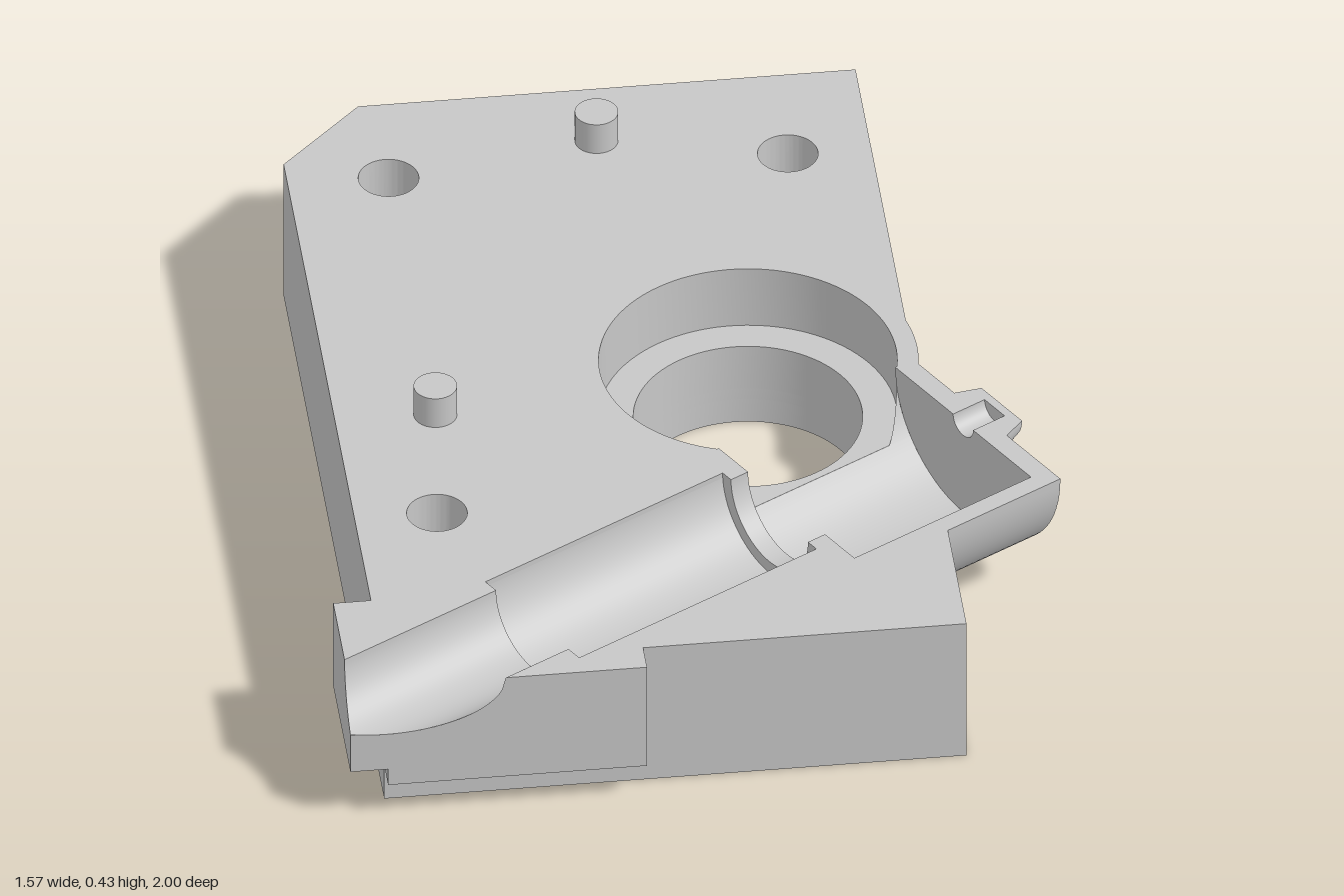
import * as THREE from 'three';
import { toCreasedNormals } from 'three/addons/utils/BufferGeometryUtils.js';

const TOP = 0.35, LEDGE = 0.2, T0 = 0.509;       // deck height, counterbore floor, channel axis
const EDGE = 0.527, FRONT = 0.932, LOW = 0.088;  // plate side, plate front, front lug underside
const CX = 0.18, CZ = -0.03, R_HOLE = 0.242, R_BORE = 0.315, R_BULGE = 0.36;
const R_SCREW = 0.064, R_SINK = 0.125;
const COS = Math.cos(Math.PI / 6), SIN = 0.5;
const SCREWS = [[-0.496, -0.747], [0.35, -0.729], [-0.535, 0.416]];
const PINS = [[-0.497, 0.077], [-0.045, -0.823]];

// channel frame: s along the axis, t across it -> [x, z]
const P = (s, t) => [s * COS + t * SIN, -s * SIN + t * COS];
const acrossOf = (x, z) => x * SIN + z * COS;
const onEdge = t => [EDGE, (t - EDGE * SIN) / COS];
// height of a lying half cylinder of radius r at offset t
const trough = (r, t) => TOP - Math.sqrt(Math.max(0, r * r - (t - T0) ** 2));

function arc(r, a0, a1, n) {
  return Array.from({ length: n + 1 }, (_, i) => {
    const a = THREE.MathUtils.degToRad(a0 + (a1 - a0) * i / n);
    return [CX + r * Math.cos(a), CZ + r * Math.sin(a)];
  });
}

function outline(points, holes = []) {
  const shape = new THREE.Shape(points.map(([x, z]) => new THREE.Vector2(x, -z)));
  for (const [x, z, r] of holes) {
    shape.holes.push(new THREE.Path().absarc(x, -z, r, 0, Math.PI * 2, true));
  }
  return shape;
}

// parametric sheet, f(u, v) -> [x, y, z]
function sheet(f, n = 40, m = 1) {
  const pos = [], idx = [];
  for (let i = 0; i <= n; i++) for (let j = 0; j <= m; j++) pos.push(...f(i / n, j / m));
  for (let i = 0; i < n; i++) for (let j = 0; j < m; j++) {
    const a = i * (m + 1) + j, b = a + m + 1;
    idx.push(a, b, a + 1, b, b + 1, a + 1);
  }
  const g = new THREE.BufferGeometry();
  g.setAttribute('position', new THREE.Float32BufferAttribute(pos, 3));
  g.setIndex(idx);
  g.computeVertexNormals();
  return g;
}

export function createModel() {
  const group = new THREE.Group();
  const metal = new THREE.MeshStandardMaterial({ color: 0xc7c7c7, side: THREE.DoubleSide });
  metal.name = 'light grey metal';
  const add = (name, geo) => {
    const mesh = new THREE.Mesh(geo, metal);
    mesh.name = name;
    group.add(mesh);
    return mesh;
  };
  const layer = (name, shape, y0, y1) => {
    const g = new THREE.ExtrudeGeometry(shape, { depth: y1 - y0, bevelEnabled: false, curveSegments: 48 });
    g.rotateX(-Math.PI / 2).translate(0, y0, 0);
    add(name, toCreasedNormals(g, 0.2));
  };
  const box = (name, x0, x1, y0, y1, z0, z1) =>
    add(name, new THREE.BoxGeometry(x1 - x0, y1 - y0, z1 - z0))
      .position.set((x0 + x1) / 2, (y0 + y1) / 2, (z0 + z1) / 2);
  const at = (s, t, y) => { const [x, z] = P(s, t); return [x, y, z]; };
  // half cylinder hanging below the deck; s limits may depend on t
  const halfPipe = (name, r, s0, s1, a0 = 0, a1 = Math.PI) => add(name, sheet((u, v) => {
    const a = a0 + (a1 - a0) * u, t = T0 - r * Math.cos(a);
    const lo = typeof s0 === 'function' ? s0(t) : s0, hi = typeof s1 === 'function' ? s1(t) : s1;
    return at(lo + (hi - lo) * v, t, TOP - r * Math.sin(a));
  }));
  // half cone from radius r0 at s0 to r1 at s1; a flat half ring when s0 = s1
  const halfCone = (name, s0, r0, s1, r1) => add(name, sheet((u, v) => {
    const a = Math.PI * u, r = r0 + (r1 - r0) * v;
    return at(s0 + (s1 - s0) * v, T0 - r * Math.cos(a), TOP - r * Math.sin(a));
  }));
  const halfRing = (name, s, r0, r1) => halfCone(name, s, r0, s, r1);
  // vertical strip from y0 up to a trough of radius r
  const curtain = (name, x0, z0, x1, z1, y0, r) => add(name, sheet((u, v) => {
    const x = x0 + (x1 - x0) * u, z = z0 + (z1 - z0) * u;
    const y = Math.max(y0, trough(r, acrossOf(x, z)));
    return [x, y0 + (y - y0) * v, z];
  }));

  // plate outlines
  const screws = r => SCREWS.map(([x, z]) => [x, z, r]);
  const round = [CX, CZ, R_HOLE];
  const bulgeAngle = THREE.MathUtils.radToDeg(Math.acos((EDGE - CX) / R_BULGE));
  const bulge = arc(R_BULGE, -bulgeAngle, bulgeAngle, 12);
  const back = [[-0.71, -0.82], [-0.53, -1], [EDGE, -1], ...bulge];
  const front = [[EDGE, FRONT], [-0.71, FRONT]];
  const base = [...back, ...front];
  layer('plateBottom', outline(base, [round, ...screws(R_SINK)]), 0, 0.06);
  layer('plateLower', outline(base, [round, ...screws(R_SCREW)]), 0.06, LOW);
  const trench = [onEdge(0.324), P(-0.08, 0.324), P(-0.08, 0.429), P(-0.75, 0.429), P(-0.75, 0.589),
    P(-0.08, 0.589), P(-0.08, 0.694), onEdge(0.694)];
  layer('plateMiddle', outline([...back, ...trench, ...front], [round, ...screws(R_SCREW)]), LOW, LEDGE);
  layer('deckBack', outline([
    [-0.79, 0.897], [-0.79, 0.7], [-0.71, 0.7], ...back, P(0.404, 0.31),
    ...arc(R_BORE, 11.1, -251.1, 72), P(-0.062, 0.271), P(-0.062, 0.374), P(-0.107, 0.374),
    P(-0.107, 0.345), P(-0.733, 0.345), P(-0.733, 0.382),
  ], screws(R_SCREW)), LEDGE, TOP);
  layer('deckFront', outline([
    [-0.46, 1], P(-0.733, 0.636), P(-0.733, 0.6735), P(-0.107, 0.6735), P(-0.107, 0.644),
    P(-0.062, 0.644), P(-0.062, 0.747), onEdge(0.747), [EDGE, FRONT], [-0.16, FRONT], [-0.16, 1],
  ]), LEDGE, TOP);

  // corner lugs under the channel mouth
  box('leftLug', -0.79, -0.71, 0.13, LEDGE, 0.7, 1);
  box('frontLug', -0.71, -0.16, LOW, LEDGE, 0.93, 1);
  curtain('leftMouth', -0.79, 0.897, -0.79, 1, LEDGE, 0.127);
  curtain('frontMouth', -0.79, 1, -0.46, 1, LEDGE, 0.127);

  // stepped channel
  halfPipe('channelMouth', 0.127, t => Math.max((-0.79 - SIN * t) / COS, (COS * t - 1) / SIN), -0.733);
  halfRing('mouthStep', -0.733, 0.127, 0.1645);
  halfPipe('channelMiddle', 0.1645, -0.733, -0.107);
  halfRing('neckStep', -0.107, 0.135, 0.1645);
  halfPipe('channelNeck', 0.135, -0.107, -0.062);
  halfRing('chamberStep', -0.062, 0.135, 0.238);
  halfRing('chamberEnd', 0.404, 0.035, 0.238);
  halfPipe('endSlot', 0.035, 0.404, 0.487);
  halfRing('endSlotFace', 0.487, 0, 0.035);

  // wide chamber, trimmed where the counterbore opens into it
  const [cs, ct] = [CX * COS - CZ * SIN, acrossOf(CX, CZ)];
  const chord = t => Math.sqrt(Math.max(0, R_BORE ** 2 - (t - ct) ** 2));
  const cut = Math.asin((TOP - LEDGE) / 0.238);
  halfPipe('chamber', 0.238, -0.062, 0.404, cut, Math.PI);
  halfPipe('chamberCornerA', 0.238, -0.062, t => Math.max(-0.062, cs - chord(t)), 0, cut);
  halfPipe('chamberCornerB', 0.238, t => Math.min(0.404, cs + chord(t)), 0.404, 0, cut);
  for (const side of [-1, 1]) {
    add('counterboreCorner', sheet((u, v) => {
      const t = 0.271 + 0.053 * u;
      return at(cs + side * chord(t), t, LEDGE + (Math.max(LEDGE, trough(0.238, t)) - LEDGE) * v);
    }, 12));
  }

  // overhanging housing with its tapered end boss
  halfPipe('housing', 0.28, t => Math.min(0.45, (EDGE - 0.004 - SIN * t) / COS), 0.45);
  halfRing('housingEnd', 0.45, 0.035, 0.28);
  halfCone('boss', 0.45, 0.092, 0.506, 0.071);
  halfRing('bossEnd', 0.506, 0, 0.071);
  curtain('plateSide', ...onEdge(0.318), ...onEdge(0.788), LOW, 0.27);
  const rim = [
    P(0.404, 0.271), P(0.45, 0.271), P(0.45, 0.417), P(0.506, 0.438), P(0.506, 0.58), P(0.45, 0.601),
    P(0.45, 0.789), P(0.153, 0.789), P(0.177, 0.747), P(0.404, 0.747), P(0.404, 0.544),
    P(0.487, 0.544), P(0.487, 0.474), P(0.404, 0.474),
  ];
  add('housingRim', new THREE.ShapeGeometry(outline(rim)).rotateX(-Math.PI / 2).translate(0, TOP, 0));

  // countersinks below, locating pins above
  for (const [x, z] of SCREWS) {
    add('countersink', new THREE.CylinderGeometry(R_SCREW, R_SINK, 0.06, 48, 1, true)).position.set(x, 0.03, z);
  }
  for (const [x, z] of PINS) {
    add('locatingPin', new THREE.CylinderGeometry(0.046, 0.046, 0.095, 32)).position.set(x, 0.3785, z);
  }
  return group;
}
